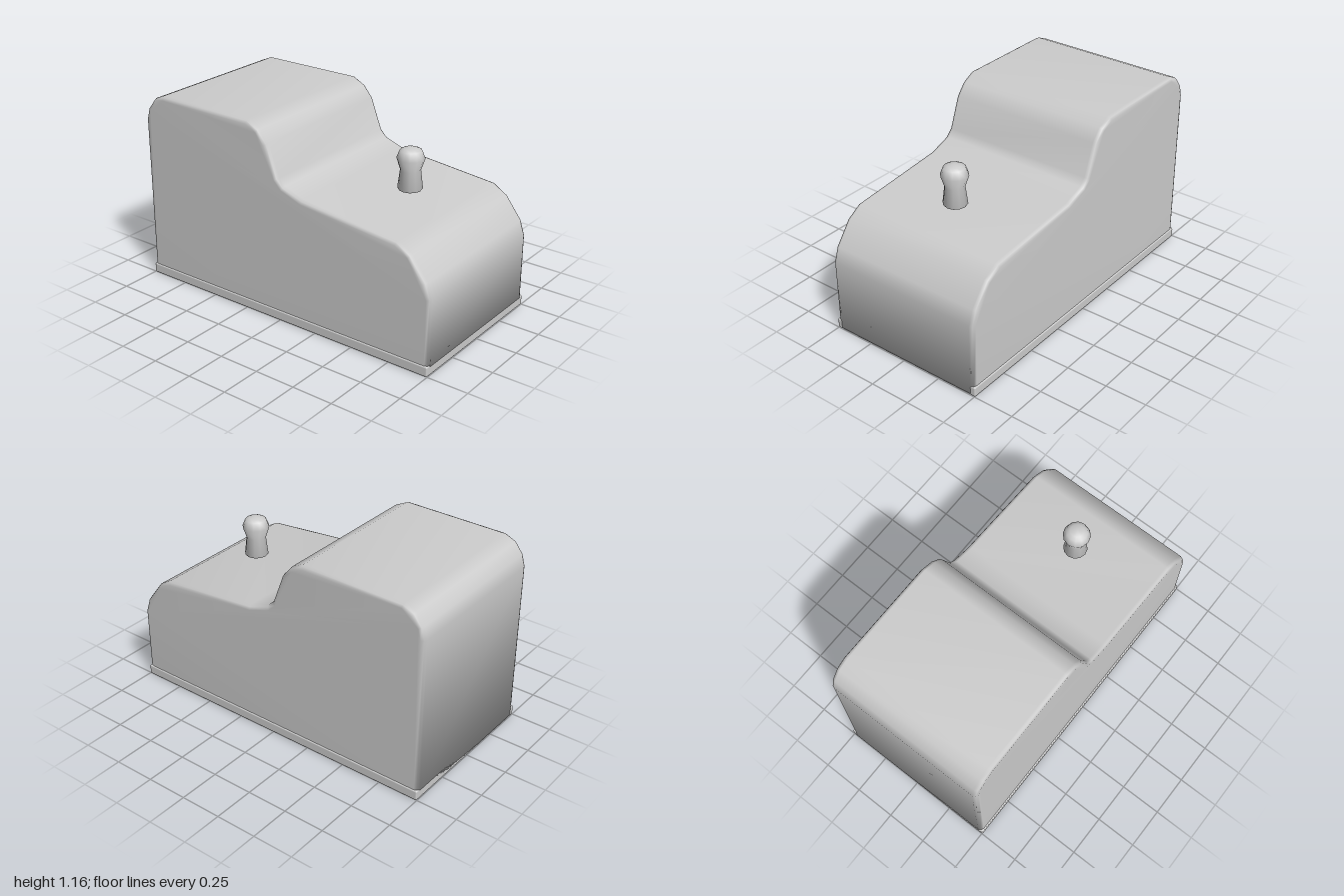
import * as THREE from 'three';
import { mergeVertices, toCreasedNormals } from 'three/addons/utils/BufferGeometryUtils.js';
import { RoundedBoxGeometry } from 'three/addons/geometries/RoundedBoxGeometry.js';

// Merge corners so the area-weighted normals keep big faces flat and bevels soft
function softNormals(geometry) {
  geometry.deleteAttribute('normal');
  geometry.deleteAttribute('uv');
  const merged = mergeVertices(geometry, 1e-4);
  merged.computeVertexNormals();
  return merged;
}

export function createModel() {
  const model = new THREE.Group();
  model.name = 'steppedCabinet';
  const grey = new THREE.MeshStandardMaterial({ color: 0xcccccc });
  grey.name = 'grey';

  const add = (name, geometry) => {
    const mesh = new THREE.Mesh(geometry, grey);
    mesh.name = name;
    model.add(mesh);
    return mesh;
  };

  // Body: side profile (z, y) swept across the width, with bevelled edges
  const profile = [
    [-1, 0.01], [1, 0.01], [1, 0.45], [0.97, 0.54], [0.87, 0.67], [0.78, 0.725],
    [0.16, 0.785], [0.03, 0.83], [-0.01, 0.87], [-0.08, 1.055], [-0.14, 1.125],
    [-0.22, 1.165], [-0.86, 1.165], [-0.93, 1.135], [-0.98, 1.07], [-1, 1.0],
  ];
  const bevel = 0.025;
  const width = 0.996;
  const body = new THREE.ExtrudeGeometry(
    new THREE.Shape(profile.map(([z, y]) => new THREE.Vector2(z, y))),
    {
      depth: width - 2 * bevel, bevelEnabled: true, bevelSegments: 2,
      bevelSize: bevel, bevelThickness: bevel, bevelOffset: -bevel,
    },
  );
  body.translate(0, 0, -(width / 2 - bevel));
  body.rotateY(-Math.PI / 2);
  add('body', softNormals(body));

  // Base strip, slightly wider than the body
  add('base', new RoundedBoxGeometry(1.01, 0.06, 2, 2, 0.008)).position.y = 0.03;

  // Lever knob hovering just above the sloping deck
  const knobProfile = [
    [0, 0.785], [0.066, 0.785], [0.071, 0.793], [0.058, 0.9],
    [0.08, 0.968], [0.062, 1.014], [0.04, 1.024], [0, 1.034],
  ].map(([r, y]) => new THREE.Vector2(r, y));
  const knob = new THREE.LatheGeometry(knobProfile, 12);
  add('knob', toCreasedNormals(knob, 0.9)).position.z = 0.53;

  return model;
}
